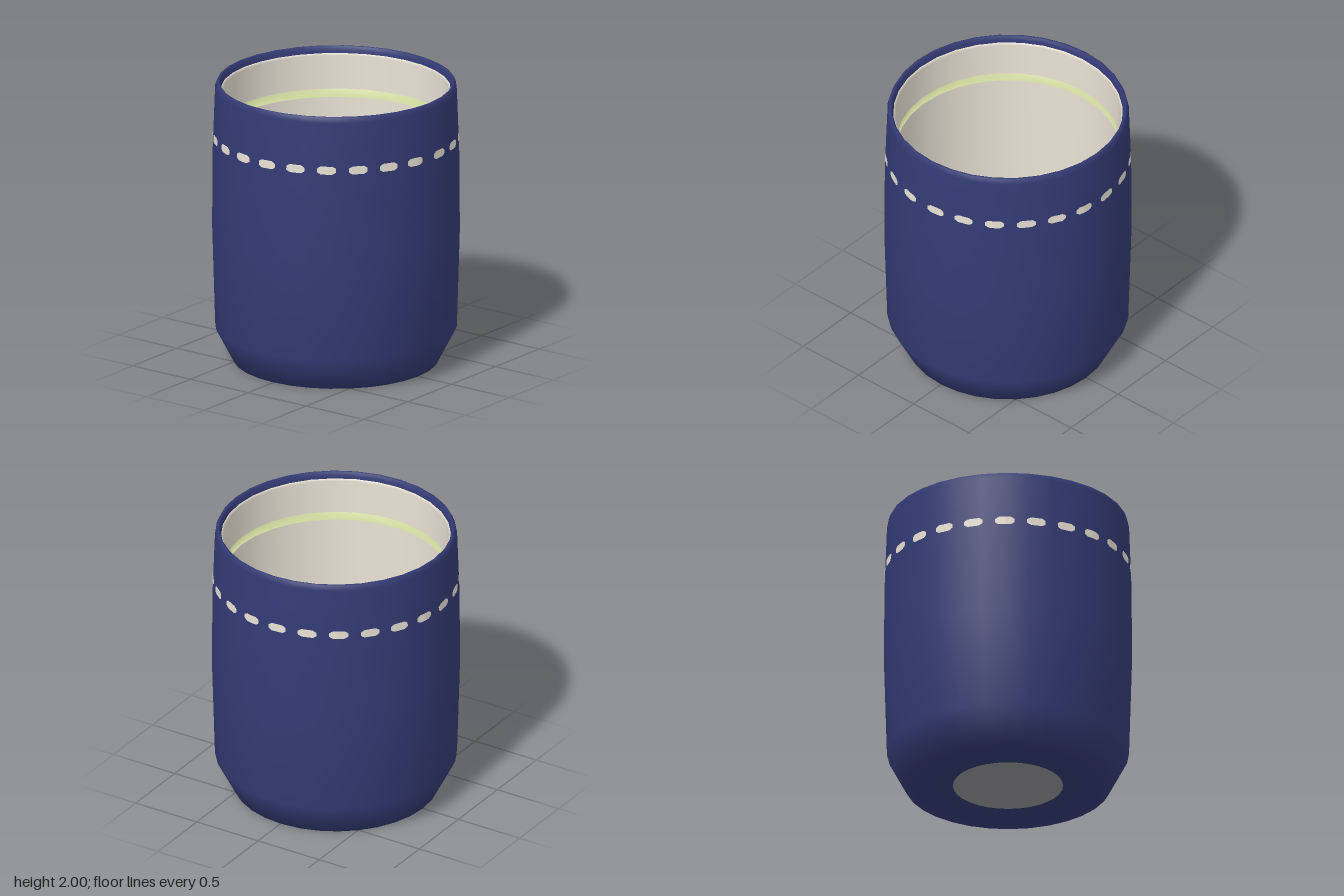
import * as THREE from 'three';

const SIDES = 32;

const mat = (name, color) => {
  const m = new THREE.MeshStandardMaterial({ color });
  m.name = name;
  return m;
};

// Gently bulging outer radius at height y
const outerRadius = (y) => 0.834 + 0.022 * (1 - ((y - 1.1) / 0.87) ** 2);

// Inner wall tapers slightly towards the floor
const innerRadius = (y) => 0.742 + (0.778 - 0.742) * ((y - 0.2) / 1.738);

export function createModel() {
  const group = new THREE.Group();
  const blue = mat('navy glaze', 0x343b75);
  const cream = mat('cream glaze', 0xece5d8);
  const green = mat('green floor', 0xa3ae54);
  const paleGreen = mat('pale green line', 0xcdd69c);
  const grey = mat('grey clay', 0x949498);

  const add = (name, geometry, material) => {
    const mesh = new THREE.Mesh(geometry, material);
    mesh.name = name;
    group.add(mesh);
  };
  const latheGeometry = (pts) =>
    new THREE.LatheGeometry(pts.map(([r, y]) => new THREE.Vector2(r, y)), SIDES);
  const lathe = (name, pts, material) => add(name, latheGeometry(pts), material);

  // Outer body: base ring, chamfer, bulging wall and rounded rim, softly shaded throughout
  const wall = [0.24, 0.95, 1.5, 1.96].map((y) => [outerRadius(y), y]);
  lathe('outerBody', [
    [0.38, 0], [0.71, 0], ...wall,
    [0.822, 1.995], [0.812, 2], [0.802, 1.995], [0.795, 1.97], [0.792, 1.95],
  ], blue);

  // Unglazed disc under the base
  lathe('footDisc', [[0, 0], [0.38, 0]], grey);

  // Inner wall: soft lip at the top, groove round the raised floor
  lathe('innerWall', [
    [0.792, 1.95], [innerRadius(1.938), 1.938], [innerRadius(0.2), 0.2], [0.735, 0.2], [0.718, 0.225],
  ], cream);

  // Domed floor
  lathe('innerFloor', [[0.718, 0.225], [0.5, 0.25], [0.25, 0.268], [0, 0.275]], green);

  // Thin line round the inner wall, its normals leaning up like the wall's
  const line = latheGeometry([1.7, 1.64].map((y) => [innerRadius(y) - 0.004, y]));
  const normals = line.attributes.normal;
  const n = new THREE.Vector3();
  for (let i = 0; i < normals.count; i++) {
    n.fromBufferAttribute(normals, i);
    n.y += 0.6;
    n.normalize();
    normals.setXYZ(i, n.x, n.y, n.z);
  }
  add('innerLine', line, paleGreen);

  // Dashes lie just proud of the faceted wall
  const facet = 2 * Math.PI / SIDES;
  const onWall = (angle, y) => {
    const offset = angle - (Math.floor(angle / facet) + 0.5) * facet;
    const r = outerRadius(y) * Math.cos(facet / 2) / Math.cos(offset) + 0.003;
    return [r * Math.sin(angle), y, r * Math.cos(angle)];
  };
  const dashGeometry = (centre) => {
    const columns = 10, halfAngle = 0.078, halfHeight = 0.029;
    const position = [], index = [];
    for (let i = 0; i <= columns; i++) {
      const t = 2 * i / columns - 1;
      const h = halfHeight * Math.min(1, 0.45 + (1 - Math.abs(t)) * 1.6);
      position.push(...onWall(centre + t * halfAngle, 1.622 - h), ...onWall(centre + t * halfAngle, 1.622 + h));
      if (i < columns) {
        const a = 2 * i;
        index.push(a, a + 2, a + 1, a + 1, a + 2, a + 3);
      }
    }
    const g = new THREE.BufferGeometry();
    g.setAttribute('position', new THREE.Float32BufferAttribute(position, 3));
    g.setIndex(index);
    g.computeVertexNormals();
    return g;
  };

  // Ring of 24 dashes, with a slightly wider gap on the +x side
  for (let i = 0; i < 24; i++) {
    add('dash', dashGeometry(THREE.MathUtils.degToRad(94.4 + 14.92 * i)), cream);
  }

  return group;
}
